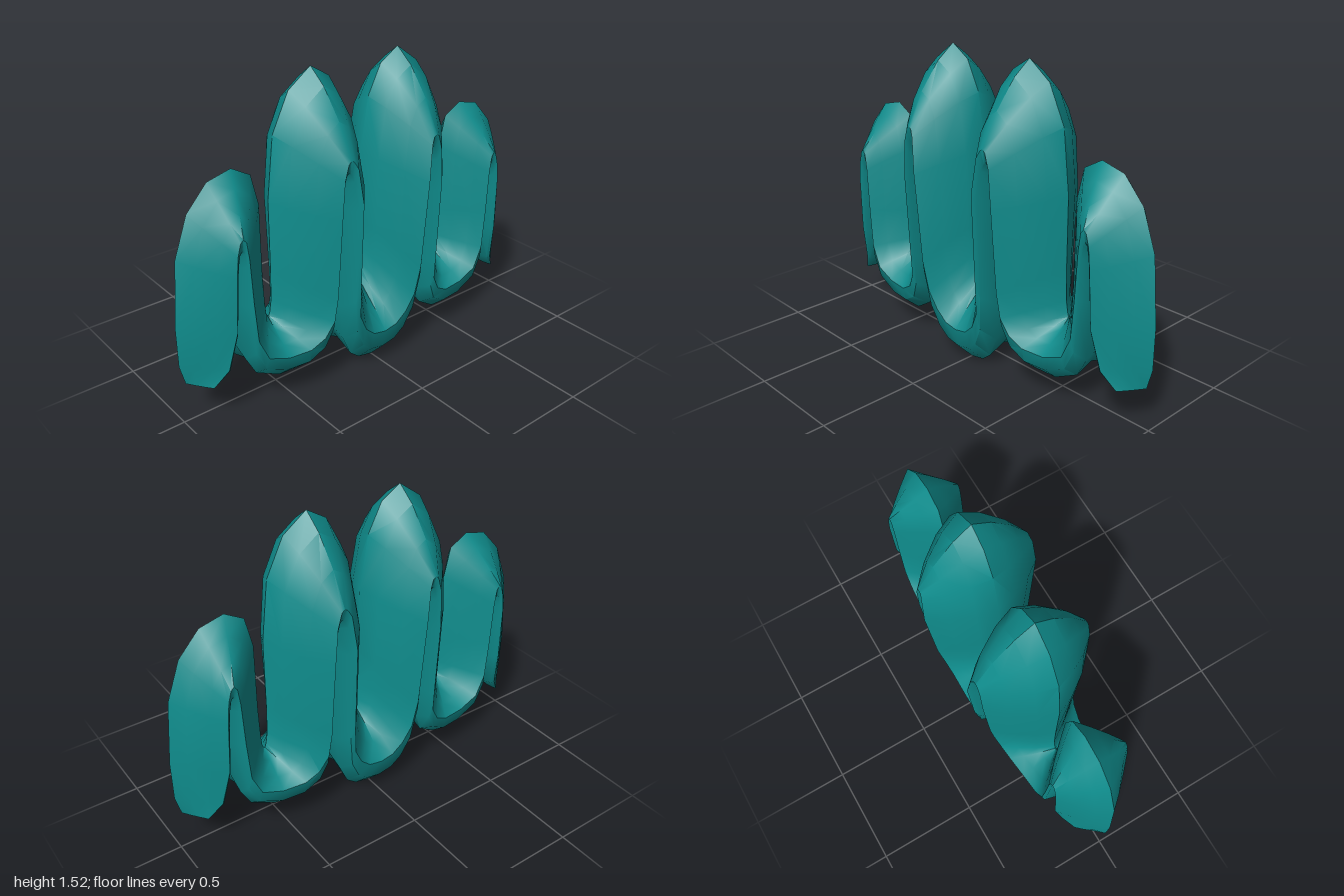
import * as THREE from 'three';
import { toCreasedNormals } from 'three/addons/utils/BufferGeometryUtils.js';

// One half of the folded body, from the central valley out to the end tip.
// Ridge: crest on the middle plane [x, y]
const ridge = [
  // central valley and inner fold
  [0, 0.4], [0.008, 0.43], [0.015, 0.48], [0.02, 0.55], [0.025, 0.7], [0.03, 1.05],
  [0.075, 1.31], [0.15, 1.455], [0.25, 1.517], [0.37, 1.43], [0.46, 1.25], [0.497, 0.95],
  // side valley
  [0.5, 0.6], [0.505, 0.45], [0.515, 0.39], [0.522, 0.37], [0.526, 0.37], [0.535, 0.39], [0.54, 0.45],
  // outer fold and tip
  [0.545, 0.6], [0.545, 0.95], [0.58, 1.1], [0.675, 1.155], [0.795, 1.125], [0.9, 1.01],
  [0.97, 0.82], [1, 0.5], [1, 0.3], [0.975, 0.2],
];
// Rim: sharp front and back edge [x, y, half width in z]
const rim = [
  [0, 0.187, 0.23], [0.07, 0.2, 0.23], [0.125, 0.25, 0.235], [0.17, 0.34, 0.248], [0.187, 0.5, 0.27],
  [0.197, 0.95, 0.3], [0.217, 1.12, 0.288], [0.235, 1.155, 0.28], [0.25, 1.165, 0.28],
  [0.265, 1.15, 0.28], [0.285, 1.08, 0.28], [0.297, 0.9, 0.277],
  [0.305, 0.5, 0.25], [0.315, 0.37, 0.235], [0.36, 0.29, 0.22], [0.43, 0.25, 0.208],
  [0.545, 0.25, 0.195], [0.65, 0.29, 0.19], [0.7, 0.4, 0.19],
  [0.715, 0.6, 0.19], [0.725, 0.82, 0.19], [0.735, 0.9, 0.19], [0.75, 0.92, 0.19], [0.765, 0.905, 0.19],
  [0.78, 0.85, 0.19], [0.79, 0.75, 0.19], [0.8, 0.48, 0.18], [0.83, 0.28, 0.14], [0.89, 0.19, 0.1],
];
// Keel: the hollow side of the folds [x, y]
const keel = [
  [0, 0], [0.08, 0.015], [0.135, 0.06], [0.185, 0.17], [0.215, 0.37], [0.222, 0.88],
  [0.233, 1.0], [0.243, 1.03], [0.25, 1.04], [0.258, 1.03], [0.27, 0.98], [0.28, 0.83],
  [0.294, 0.45], [0.303, 0.27], [0.335, 0.17], [0.43, 0.11], [0.545, 0.11], [0.67, 0.175], [0.72, 0.27],
  [0.733, 0.56], [0.739, 0.74], [0.745, 0.79], [0.75, 0.8], [0.757, 0.79], [0.763, 0.74],
  [0.77, 0.65], [0.782, 0.45], [0.81, 0.26], [0.87, 0.193],
];

const mix = (a, b, t) => [a[0] + (b[0] - a[0]) * t, a[1] + (b[1] - a[1]) * t];

// Closed cross-section: ridge, bulging flank, rim, chamfer, keel, hollow, then the back half
function section(i, side) {
  const R = ridge[i], E = rim[i], K = keel[i], w = E[2];
  const bulge = 0.03 + Math.max(0, w - 0.19) * 1.1;
  const half = [
    [mix(R, E, 0.33 - bulge), 0.33],
    [mix(R, E, 0.7 - bulge), 0.7],
    [E, 1],
    [mix(E, K, 0.5), 0.93],
    [K, 0.53],
  ];
  const point = ([p, t], s) => [p[0] * side, p[1], t * w * s];
  return [
    point([R, 0], 1),
    ...half.map((h) => point(h, 1)),
    point([mix(K, E, 0.25), 0], 1),
    ...half.slice().reverse().map((h) => point(h, -1)),
  ];
}

function foldedGeometry() {
  const rings = [];
  const last = ridge.length - 1;
  for (let i = -last; i <= last; i++) rings.push(section(Math.abs(i), i < 0 ? -1 : 1));
  const n = rings[0].length;
  const index = [];
  for (let i = 0; i < rings.length - 1; i++) {
    for (let j = 0; j < n; j++) {
      const k = (j + 1) % n;
      const a = i * n + j, b = i * n + k, c = b + n, d = a + n;
      // mirrored diagonals on the two halves
      if (i < last) index.push(a, b, c, a, c, d);
      else index.push(a, b, d, b, c, d);
    }
  }
  // end caps
  const end = (rings.length - 1) * n;
  for (let j = 1; j < n - 1; j++) {
    index.push(end, end + j, end + j + 1);
    index.push(0, j + 1, j);
  }
  const geometry = new THREE.BufferGeometry();
  geometry.setAttribute('position', new THREE.Float32BufferAttribute(rings.flat(2), 3));
  geometry.setIndex(index);
  return toCreasedNormals(geometry, 0.8);
}

export function createModel() {
  const teal = new THREE.MeshStandardMaterial({ color: 0x0f8c8c });
  teal.name = 'teal';
  const group = new THREE.Group();
  group.name = 'foldedSculpture';
  const body = new THREE.Mesh(foldedGeometry(), teal);
  body.name = 'foldedBody';
  group.add(body);
  return group;
}
